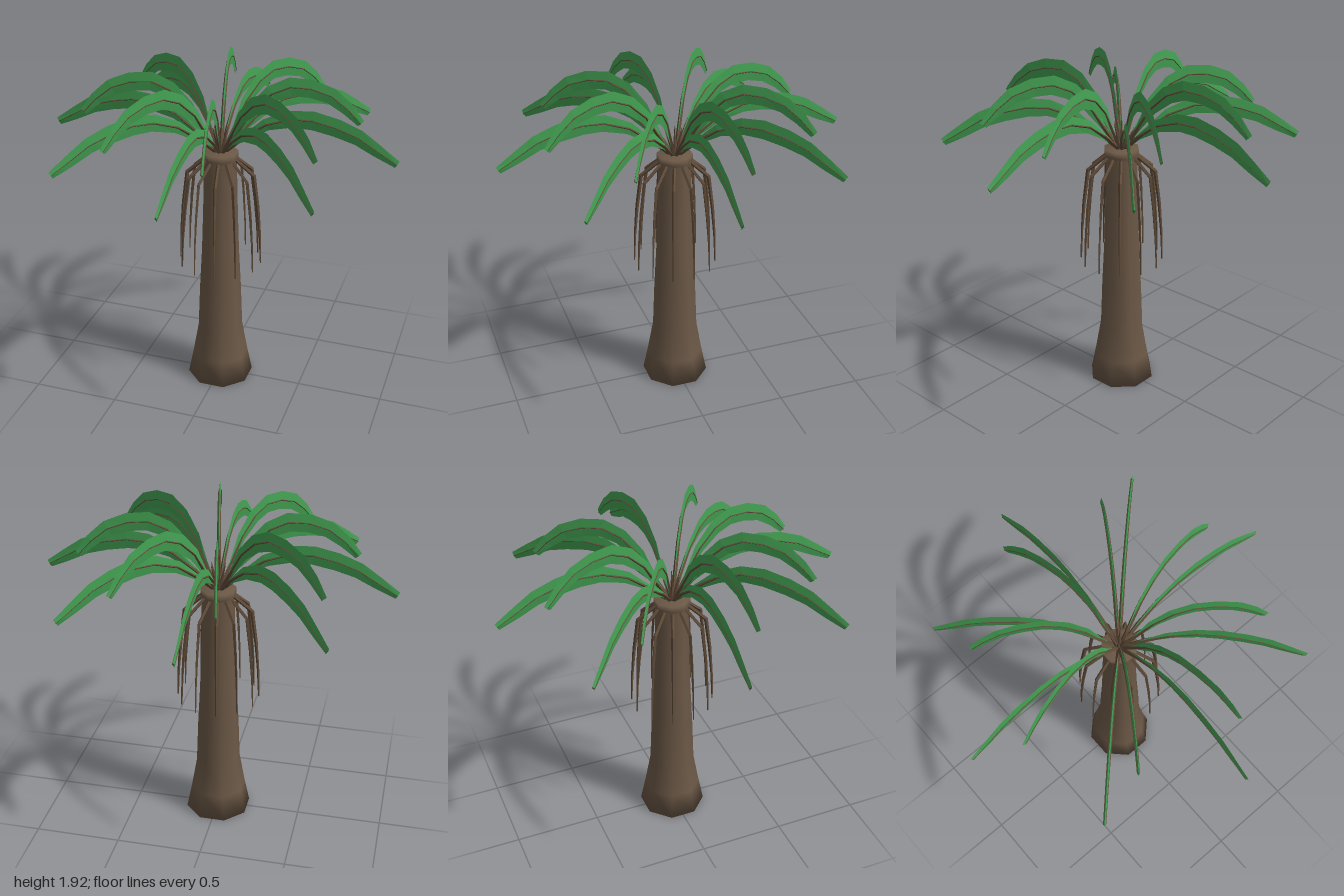
import * as THREE from 'three';

const BARK = new THREE.MeshStandardMaterial({ color: 0x6b5846 });
const STEM = new THREE.MeshStandardMaterial({ color: 0x5e4a38, flatShading: true });
const LEAF = new THREE.MeshStandardMaterial({ color: 0x43a052, flatShading: true });

// Lofts a diamond section along a path in the x-y plane.
// Each row: [x, y, half height across the path, half thickness in z]
function blade(rows) {
  const pos = [], idx = [], n = rows.length;
  rows.forEach(([x, y, h, t], i) => {
    const a = rows[Math.max(i - 1, 0)], b = rows[Math.min(i + 1, n - 1)];
    const len = Math.hypot(b[0] - a[0], b[1] - a[1]);
    const nx = -(b[1] - a[1]) / len * h, ny = (b[0] - a[0]) / len * h;
    pos.push(x + nx, y + ny, 0, x, y, t, x - nx, y - ny, 0, x, y, -t);
    if (i === n - 1) return;
    for (let k = 0; k < 4; k++) {
      const p = i * 4 + k, q = i * 4 + (k + 1) % 4;
      idx.push(p, q, q + 4, p, q + 4, p + 4);
    }
  });
  const e = (n - 1) * 4;
  idx.push(0, 2, 1, 0, 3, 2, e, e + 1, e + 2, e, e + 2, e + 3);
  const geo = new THREE.BufferGeometry();
  geo.setAttribute('position', new THREE.Float32BufferAttribute(pos, 3));
  geo.setIndex(idx);
  geo.computeVertexNormals();
  return geo;
}

// Repeats a set of [name, geometry, material] parts around the trunk
function ring(name, count, startDeg, parts) {
  const group = new THREE.Group();
  group.name = name;
  for (let i = 0; i < count; i++) {
    const item = new THREE.Group();
    item.rotation.y = -THREE.MathUtils.degToRad(startDeg + i * 360 / count);
    for (const [partName, geo, mat] of parts) {
      const mesh = new THREE.Mesh(geo, mat);
      mesh.name = partName;
      item.add(mesh);
    }
    group.add(item);
  }
  return group;
}

// Leaf blade plus a thin stem that stands proud of both faces
function frondParts(path) {
  const halfWidths = [0.006, 0.014, 0.034, 0.048, 0.054, 0.052, 0.046, 0.036, 0.022];
  const last = path.length - 1;
  const leaf = path.map(([x, y], i) => [x, y, halfWidths[i], 0.006]);
  const stem = path.map(([x, y], i) => {
    const s = 1 - i / last;
    return [x, y, 0.006 + 0.006 * s, 0.008 + 0.004 * s];
  });
  return [['leafBlade', blade(leaf), LEAF], ['leafStem', blade(stem), STEM]];
}

export function createModel() {
  const model = new THREE.Group();
  model.name = 'palmTree';

  // Eight-sided trunk with flared foot and collar
  const profile = [
    [0, 0], [0.195, 0], [0.165, 0.15], [0.132, 0.34], [0.122, 0.6],
    [0.108, 0.86], [0.1, 1.1], [0.092, 1.42], [0.102, 1.44], [0.102, 1.475], [0, 1.475],
  ].map(([r, y]) => new THREE.Vector2(r, y));
  const trunk = new THREE.Mesh(new THREE.LatheGeometry(profile, 8), BARK);
  trunk.name = 'trunk';
  trunk.rotation.y = Math.PI / 8;
  model.add(trunk);

  // Wide lower crown
  model.add(ring('lowerFronds', 8, 0, frondParts([
    [0.01, 1.46], [0.13, 1.57], [0.26, 1.665], [0.4, 1.715], [0.52, 1.72],
    [0.65, 1.695], [0.77, 1.655], [0.88, 1.59], [0.985, 1.53],
  ])));

  // Steeper upper crown, turned between the lower fronds
  model.add(ring('upperFronds', 8, -11.4, frondParts([
    [0.01, 1.46], [0.1, 1.6], [0.18, 1.73], [0.28, 1.825], [0.38, 1.868],
    [0.49, 1.862], [0.6, 1.825], [0.69, 1.755], [0.765, 1.675],
  ])));

  // Dead stalks hanging from the collar
  const stalk = blade([
    [0.06, 1.45, 0.012, 0.01], [0.19, 1.335, 0.012, 0.01], [0.215, 1.14, 0.01, 0.008],
    [0.23, 0.96, 0.007, 0.006], [0.237, 0.78, 0.004, 0.004],
  ]);
  model.add(ring('hangingStalks', 12, 21, [['deadStalk', stalk, STEM]]));

  // Young shoots in the heart of the crown
  const shoot = blade([
    [0.01, 1.46, 0.01, 0.008], [0.025, 1.54, 0.008, 0.007], [0.045, 1.62, 0.002, 0.002],
  ]);
  model.add(ring('youngShoots', 6, 20, [['shoot', shoot, STEM]]));

  return model;
}
